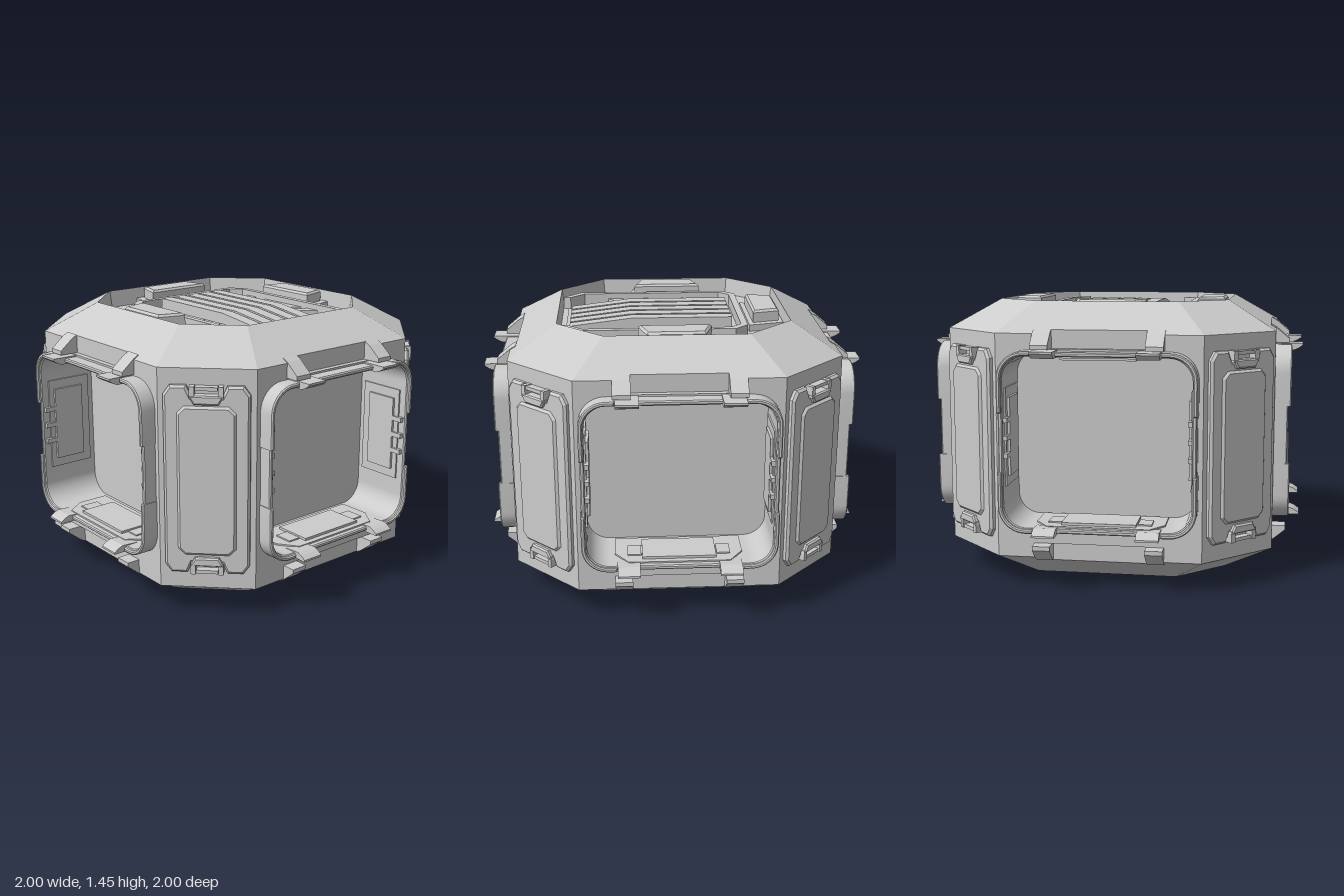
import * as THREE from 'three';
import { toCreasedNormals } from 'three/addons/utils/BufferGeometryUtils.js';

const mat = new THREE.MeshStandardMaterial({ color: 0xcccccc, side: THREE.DoubleSide });
const W = 0.86, C = 0.52;    // wall distance and wall half width
const R = 0.61, K = 0.37;    // deck octagon distance and half width
const H = 0.57, T = 0.72;    // wall half height and overall half height

function add(parent, name, geo, x = 0, y = 0, z = 0) {
  const m = new THREE.Mesh(geo, mat);
  m.name = name;
  m.position.set(x, y, z);
  parent.add(m);
  return m;
}
function group(parent, name) {
  const g = new THREE.Group();
  g.name = name;
  parent.add(g);
  return g;
}
const box = (w, h, d) => new THREE.BoxGeometry(w, h, d);
const shapeOf = pts => new THREE.Shape(pts.map(p => new THREE.Vector2(p[0], p[1])));

// flat convex polygons, each a loop of corners
function polygons(list) {
  const pos = [];
  for (const p of list)
    for (let i = 1; i < p.length - 1; i++) pos.push(...p[0], ...p[i], ...p[i + 1]);
  const g = new THREE.BufferGeometry();
  g.setAttribute('position', new THREE.Float32BufferAttribute(pos, 3));
  g.computeVertexNormals();
  return g;
}
// extrusion along z with an optional chamfer that stays inside the outline
function slab(shape, depth, bevel = 0) {
  return new THREE.ExtrudeGeometry(shape, {
    depth: depth - bevel, curveSegments: 10, bevelEnabled: bevel > 0,
    bevelThickness: bevel, bevelSize: bevel, bevelOffset: -bevel, bevelSegments: 1
  });
}
// outline in (z, y), extruded across x and centred
const slabX = (pts, w) => slab(shapeOf(pts), w).rotateY(-Math.PI / 2).translate(w / 2, 0, 0);
// outline in (x, z), raised from y0 to y1
const slabY = (pts, y0, y1, bevel = 0) =>
  slab(shapeOf(pts.map(([x, z]) => [x, -z])), y1 - y0, bevel).rotateX(-Math.PI / 2).translate(0, y0, 0);

function roundedRect(w, h, r, Type = THREE.Shape) {
  const s = new Type();
  s.moveTo(w - r, -h);
  s.absarc(w - r, -h + r, r, -Math.PI / 2, 0);
  s.absarc(w - r, h - r, r, 0, Math.PI / 2);
  s.absarc(-w + r, h - r, r, Math.PI / 2, Math.PI);
  s.absarc(-w + r, -h + r, r, Math.PI, Math.PI * 1.5);
  s.closePath();
  return s;
}
function octagonCut(w, h, c) {
  return [[-w + c, -h], [w - c, -h], [w, -h + c], [w, h - c], [w - c, h], [-w + c, h], [-w, h - c], [-w, -h + c]];
}

// wall with window, bevels with notches, bracket arms
function buildSide(parent) {
  const N = 0.25, n = 0.495, zb = 0.83, yb = H + (W - zb) * 0.6;
  const wall = shapeOf([[-C, -H], [-N, -H], [-N, -n], [N, -n], [N, -H], [C, -H],
    [C, H], [N, H], [N, n], [-N, n], [-N, H], [-C, H]]);
  const hole = roundedRect(0.485, 0.445, 0.13, THREE.Path);
  wall.holes.push(new THREE.Path(hole.getPoints(10).map(p => new THREE.Vector2(p.x, p.y + 0.03))));
  add(parent, 'sideWall', new THREE.ShapeGeometry(wall), 0, 0, W);

  const bevel = polygons([
    [[-N, yb, zb], [N, yb, zb], [N, T, R], [-N, T, R]],
    [[N, H, W], [C, H, W], [K, T, R], [N, T, R]],
    [[-C, H, W], [-N, H, W], [-N, T, R], [-K, T, R]],
    [[-N, n, zb], [N, n, zb], [N, yb, zb], [-N, yb, zb]],
    [[-N, n, W], [N, n, W], [N, n, zb], [-N, n, zb]],
    [[-N, n, W], [-N, n, zb], [-N, yb, zb], [-N, H, W]],
    [[N, H, W], [N, yb, zb], [N, n, zb], [N, n, W]]
  ]);
  const arm = slabX([[0.83, 0.592], [0.83, 0.495], [0.93, 0.495], [0.93, 0.517], [0.86, 0.575]], 0.09);
  for (const flip of [0, Math.PI]) {
    const half = group(parent, flip ? 'lowerEdge' : 'upperEdge');
    half.rotation.z = flip;
    add(half, 'bevelPanel', bevel);
    for (const s of [-1, 1]) add(half, 'bracketArm', arm, s * 0.285);
  }
  buildWindow(parent);
}

function buildWindow(parent) {
  const win = group(parent, 'window');
  win.position.y = 0.03;
  // tunnel with a protruding lip
  const ring = roundedRect(0.495, 0.455, 0.135);
  ring.holes.push(roundedRect(0.472, 0.432, 0.115, THREE.Path));
  add(win, 'windowTunnel', toCreasedNormals(slab(ring, 0.33, 0.006), 0.5), 0, 0, 0.6);
  add(win, 'windowBack', new THREE.ShapeGeometry(roundedRect(0.49, 0.45, 0.13), 10), 0, 0, 0.605);

  // thicker lip corners
  for (let i = 0; i < 4; i++) {
    const sx = i % 2 ? 1 : -1, sy = i < 2 ? 1 : -1;
    const o = [[0.32, 0.458]], inn = [[0.32, 0.436]];
    for (let k = 0; k <= 8; k++) {
      const a = Math.PI / 2 * (1 - k / 8);
      o.push([0.363 + 0.136 * Math.cos(a), 0.322 + 0.136 * Math.sin(a)]);
      inn.push([0.363 + 0.114 * Math.cos(a), 0.322 + 0.114 * Math.sin(a)]);
    }
    o.push([0.499, 0.15]);
    inn.push([0.477, 0.15]);
    const pts = [...o, ...inn.reverse()].map(([x, y]) => [x * sx, y * sy]);
    add(win, 'lipCorner', toCreasedNormals(slab(shapeOf(pts), 0.085, 0.006), 0.5), 0, 0, 0.86);
  }

  // clips, floor and ceiling hatches
  const clip = slabX([[0.86, 0.462], [0.86, 0.43], [0.95, 0.425], [0.975, 0.435], [1.0, 0.452], [1.0, 0.462]], 0.115);
  for (const flip of [0, Math.PI]) {
    const half = group(win, flip ? 'floorFittings' : 'ceilingFittings');
    half.rotation.z = flip;
    for (const s of [-1, 1]) {
      add(half, 'clip', clip, s * 0.26);
      add(half, 'hatchTab', box(0.07, 0.016, 0.1), s * 0.23, 0.425, 0.78);
    }
    add(half, 'hatchTray', slabY([[-0.33, 0.63], [0.33, 0.63], [0.33, 0.8], [0.26, 0.9], [-0.26, 0.9], [-0.33, 0.8]], 0.424, 0.435));
    add(half, 'hatch', box(0.38, 0.02, 0.2), 0, 0.421, 0.77);
  }
  // hatches on the tunnel sides
  for (const s of [-1, 1]) {
    add(win, 'sideHatch', box(0.02, 0.4, 0.17), s * 0.461, 0.02, 0.77);
    add(win, 'sideHatchFrame', box(0.01, 0.5, 0.25), s * 0.469, 0.02, 0.76);
    for (const y of [-0.07, 0.02, 0.11]) add(win, 'sideHatchRib', box(0.024, 0.025, 0.07), s * 0.463, y, 0.88);
  }
}

// diagonal wall, its bevels and the raised door panel
function buildCorner(parent) {
  const d = (W + C) / Math.SQRT2, w = (W - C) / Math.SQRT2;
  const d2 = (R + K) / Math.SQRT2, w2 = (R - K) / Math.SQRT2;
  add(parent, 'cornerWall', polygons([
    [[-w, -H, d], [w, -H, d], [w, H, d], [-w, H, d]],
    [[-w, H, d], [w, H, d], [w2, T, d2], [-w2, T, d2]],
    [[-w2, -T, d2], [w2, -T, d2], [w, -H, d], [-w, -H, d]]
  ]));
  const panel = group(parent, 'cornerPanel');
  panel.position.set(0, 0.005, d - 0.005);
  const half = [[0.075, -0.43], [0.1, -0.485], [0.18, -0.485], [0.212, -0.44],
    [0.212, 0.44], [0.18, 0.485], [0.1, 0.485], [0.075, 0.43]];
  add(panel, 'panelPlate', slab(shapeOf([...half, ...half.map(([x, y]) => [-x, y]).reverse()]), 0.033, 0.012));
  add(panel, 'panelFace', slab(shapeOf(octagonCut(0.145, 0.385, 0.035)), 0.045, 0.012));
  for (const s of [-1, 1]) {
    const latch = group(panel, 'latch');
    latch.rotation.z = s < 0 ? Math.PI : 0;
    add(latch, 'latchBar', slab(shapeOf([[-0.06, 0.395], [0.06, 0.395], [0.085, 0.44], [-0.085, 0.44]]), 0.055, 0.008));
    add(latch, 'latchTop', box(0.11, 0.018, 0.045), 0, 0.473, 0.022);
    for (const t of [-1, 1]) add(latch, 'latchPost', box(0.025, 0.06, 0.05), t * 0.07, 0.455, 0.025);
  }
}

// recessed deck with vent slats, frame and pads
function buildDeck(parent) {
  const oct = [];
  for (let k = 0; k < 4; k++)
    for (const [x, z] of [[K, R], [R, K]]) {
      const a = k * Math.PI / 2, c = Math.round(Math.cos(a)), s = Math.round(Math.sin(a));
      oct.push([x * c + z * s, z * c - x * s]);
    }
  // order the corners around the centre
  oct.sort((p, q) => Math.atan2(p[1], p[0]) - Math.atan2(q[1], q[0]));
  const F = 0.625;
  add(parent, 'deckRim', polygons(oct.map(([x, z], i) => {
    const [u, v] = oct[(i + 1) % 8], k = 0.985;
    return [[x, T, z], [u, T, v], [u * k, F, v * k], [x * k, F, z * k]];
  })));
  add(parent, 'deckFloor', slabY(oct.map(([x, z]) => [x * 0.99, z * 0.99]), F - 0.02, F));

  add(parent, 'ventFrame', slabY([[0.6, -0.3], [0.5, -0.405], [-0.32, -0.405], [-0.39, -0.335], [-0.39, 0.335],
    [-0.32, 0.405], [0.5, 0.405], [0.6, 0.3], [0.56, 0.29], [0.48, 0.37], [-0.3, 0.37], [-0.355, 0.315],
    [-0.355, -0.315], [-0.3, -0.37], [0.48, -0.37], [0.56, -0.29]], F, 0.69));
  add(parent, 'ventTray', slabY([[-0.35, -0.23], [-0.32, -0.26], [0.33, -0.26], [0.36, -0.23], [0.57, -0.23],
    [0.57, 0.23], [0.36, 0.23], [0.33, 0.26], [-0.32, 0.26], [-0.35, 0.23]], F, 0.642));
  const slat = slab(shapeOf([[-0.32, 0.635], [-0.32, 0.7], [0.22, 0.7], [0.55, 0.66], [0.55, 0.635]]), 0.07).translate(0, 0, -0.035);
  for (let i = -2; i <= 2; i++) add(parent, 'ventSlat', slat, 0, 0, i * 0.088);

  for (const s of [-1, 1]) {
    add(parent, 'strut', slabY([[-0.1, s * 0.38], [-0.02, s * 0.26], [0.13, s * 0.26], [0.22, s * 0.38]], F, 0.66));
    add(parent, 'strut', slabY([[-0.26, s * 0.38], [-0.19, s * 0.26], [-0.13, s * 0.26], [-0.18, s * 0.38]], F, 0.66));
    add(parent, 'strut', slabY([[0.27, s * 0.38], [0.2, s * 0.26], [0.26, s * 0.26], [0.35, s * 0.38]], F, 0.66));
  }
  // three trapezoid pads
  for (const a of [0, Math.PI, -Math.PI / 2]) {
    const pad = group(parent, 'deckPad');
    pad.rotation.y = a;
    add(pad, 'padBase', slabY([[-0.24, 0.41], [0.24, 0.41], [0.19, 0.6], [-0.19, 0.6]], F, 0.66));
    add(pad, 'padTop', slabY([[-0.19, 0.435], [0.19, 0.435], [0.15, 0.58], [-0.15, 0.58]], 0.65, 0.725, 0.012));
  }
}

export function createModel() {
  const model = new THREE.Group();
  model.name = 'octagonalModule';
  const body = group(model, 'body');
  body.position.y = 0.725;
  for (let i = 0; i < 4; i++) {
    const side = group(body, 'side');
    side.rotation.y = i * Math.PI / 2;
    buildSide(side);
    const corner = group(body, 'corner');
    corner.rotation.y = (i + 0.5) * Math.PI / 2;
    buildCorner(corner);
  }
  for (const flip of [0, Math.PI]) {
    const deck = group(body, flip ? 'bottomDeck' : 'topDeck');
    deck.rotation.x = flip;
    buildDeck(deck);
  }
  return model;
}
